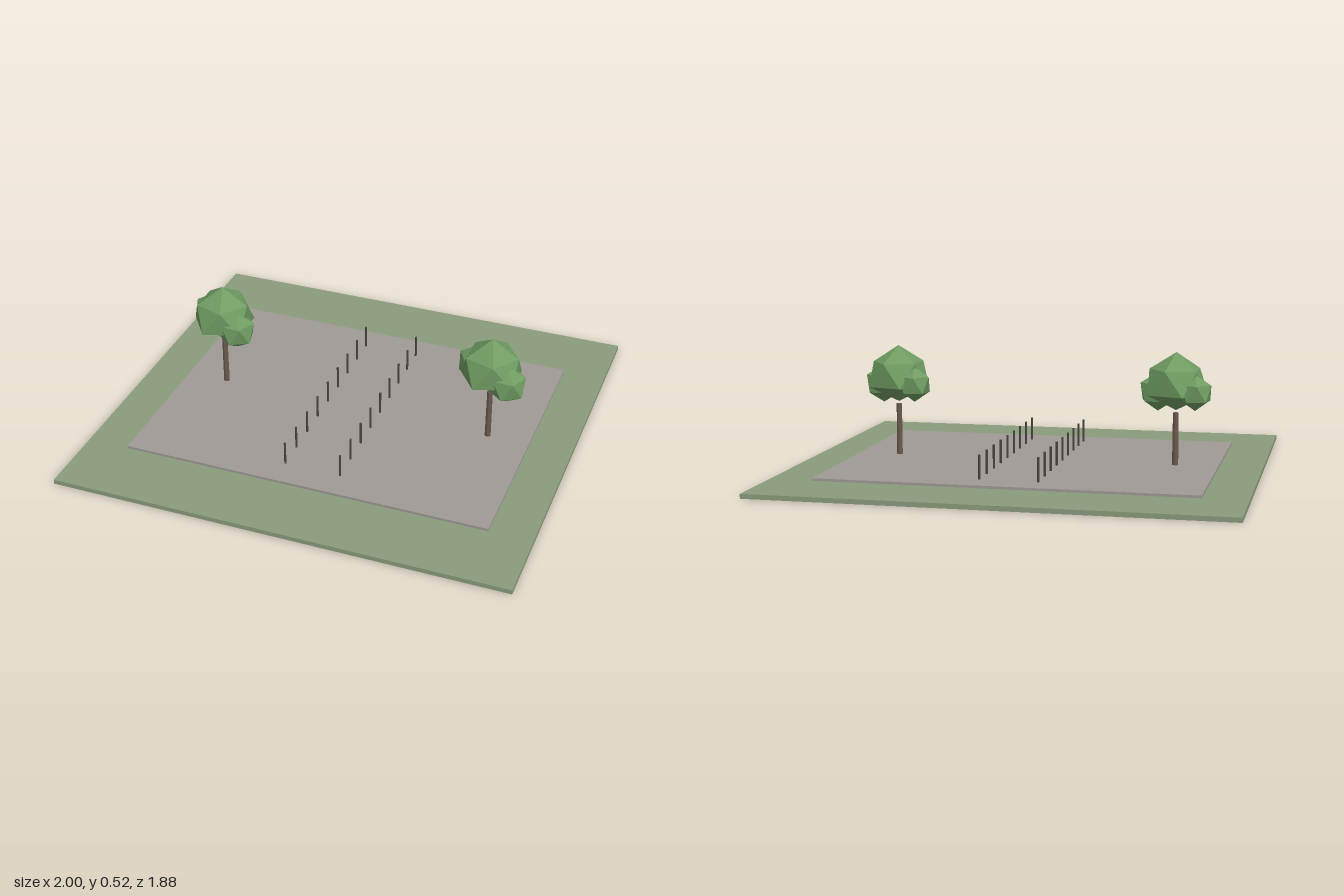
import * as THREE from 'three';

const mat = (color, flatShading = false) => new THREE.MeshStandardMaterial({ color, flatShading });
const grass = mat(0x8a9c7c), paving = mat(0x9f9a96), bark = mat(0x6b5a4e, true);
const metal = mat(0x4a4542), leaves = mat(0x6f9c62, true);

function add(parent, name, geometry, material, x = 0, y = 0, z = 0) {
  const mesh = new THREE.Mesh(geometry, material);
  mesh.name = name;
  mesh.position.set(x, y, z);
  parent.add(mesh);
  return mesh;
}

// Icosahedron standing on a vertex; levels = [top, upper ring, lower ring, bottom] as [y, radius]
function leafBall(levels, turn = 0) {
  const g = new THREE.IcosahedronGeometry(1, 0).rotateZ(-Math.atan2(2, 1 + Math.sqrt(5)));
  const p = g.attributes.position;
  for (let i = 0; i < p.count; i++) {
    const y = p.getY(i);
    const [h, r] = levels[y > 0.9 ? 0 : y > 0 ? 1 : y > -0.9 ? 2 : 3];
    const s = r / 0.8944;
    p.setXYZ(i, p.getX(i) * s, h, p.getZ(i) * s);
  }
  g.rotateY(turn);
  g.computeVertexNormals();
  return g;
}

const regular = (r) => [[r, 0], [0.447 * r, 0.894 * r], [-0.447 * r, 0.894 * r], [-r, 0]];

function makeTree(x) {
  const tree = new THREE.Group();
  tree.name = 'tree';
  tree.position.x = x;
  add(tree, 'trunk', new THREE.CylinderGeometry(0.0125, 0.0135, 0.23, 8), bark, 0, 0.146, 0);
  // Large crown with two smaller clumps low on either side
  add(tree, 'crown', leafBall([[0.525, 0], [0.45, 0.117], [0.343, 0.14], [0.272, 0]]), leaves);
  add(tree, 'rightClump', leafBall(regular(0.086), 0.25), leaves, 0.085, 0.346, 0.045);
  add(tree, 'leftClump', leafBall(regular(0.078), 0.5), leaves, -0.09, 0.358, -0.06);
  return tree;
}

export function createModel() {
  const model = new THREE.Group();
  model.name = 'plaza';

  // Lawn and raised paving
  add(model, 'lawn', new THREE.BoxGeometry(2, 0.02, 1.875), grass, 0, 0.01, 0);
  add(model, 'paving', new THREE.BoxGeometry(1.625, 0.02, 1.25), paving, 0, 0.021, 0);

  // Two rows of bollards
  const post = new THREE.CylinderGeometry(0.005, 0.005, 0.104, 8);
  for (const x of [-0.125, 0.125])
    for (let i = -4; i <= 4; i++) add(model, 'bollard', post, metal, x, 0.083, i * 0.125);

  // Trees at both sides
  for (const x of [-0.625, 0.625]) model.add(makeTree(x));
  return model;
}
